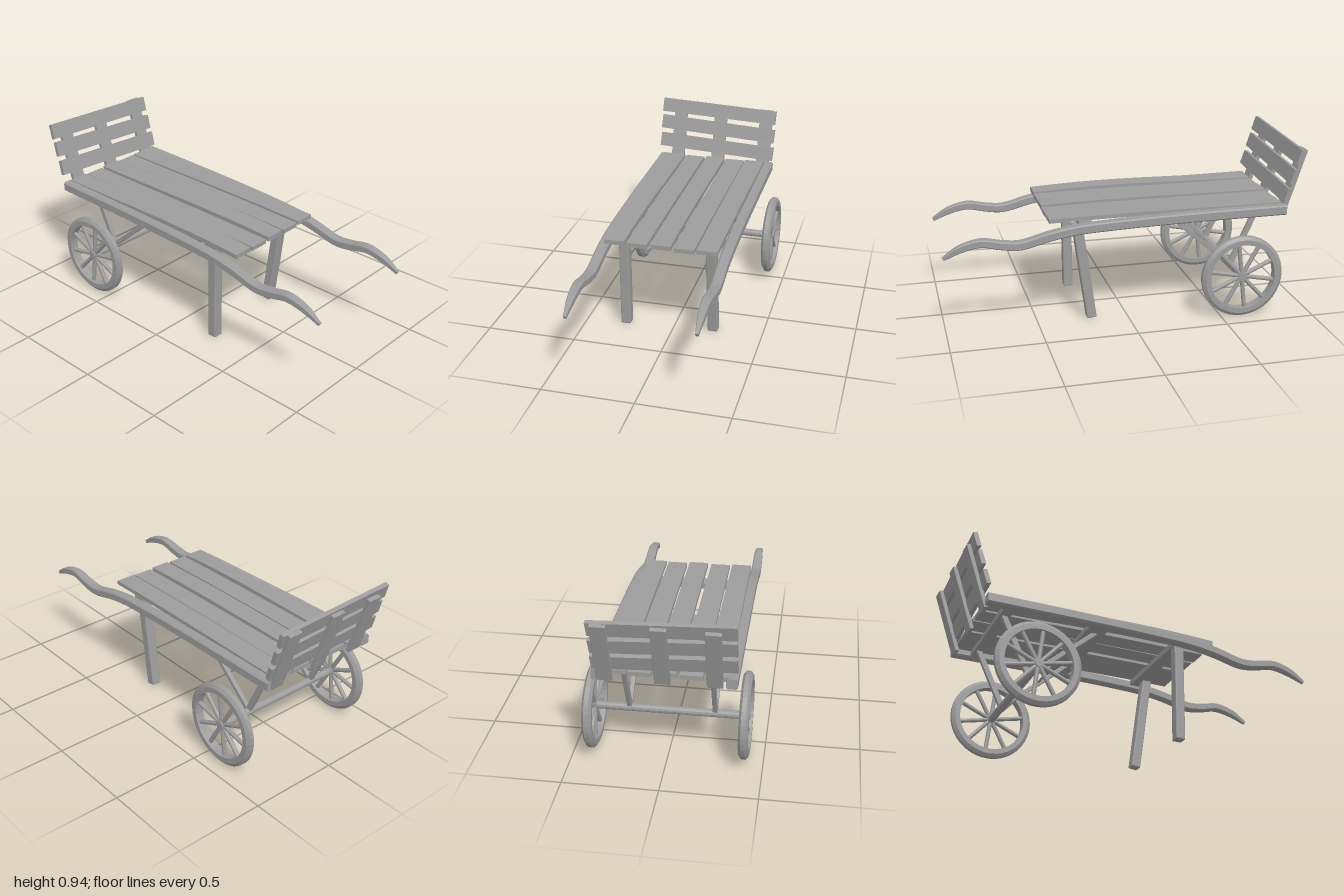
import * as THREE from 'three';
import { RoundedBoxGeometry } from 'three/addons/geometries/RoundedBoxGeometry.js';

const wood = new THREE.MeshStandardMaterial({ color: 0x9c9c9c, flatShading: true });
const V = (x, y, z) => new THREE.Vector3(x, y, z);
const UP = V(0, 1, 0);

function add(parent, name, geometry) {
  const mesh = new THREE.Mesh(geometry, wood);
  mesh.name = name;
  parent.add(mesh);
  return mesh;
}

// Straight member between two points; round when no depth is given
function beam(parent, name, a, b, width, depth, bevel = 0.002) {
  const length = a.distanceTo(b);
  const geometry = depth
    ? new RoundedBoxGeometry(width, length, depth, 1, bevel)
    : new THREE.CylinderGeometry(width, width, length, 12);
  const mesh = add(parent, name, geometry);
  mesh.position.copy(a).add(b).multiplyScalar(0.5);
  mesh.quaternion.setFromUnitVectors(UP, b.clone().sub(a).normalize());
  return mesh;
}

function box(parent, name, w, h, d, x, y, z) {
  const mesh = add(parent, name, new THREE.BoxGeometry(w, h, d));
  mesh.position.set(x, y, z);
  return mesh;
}

// Side rail swept along x into a curved, tapering handle with chamfered edges
function railGeometry() {
  // x, centre y, half height, half width
  const keys = [
    [-0.88, 0.575, 0.028, 0.029], [-0.3, 0.571, 0.027, 0.029], [0.1, 0.561, 0.026, 0.029],
    [0.3, 0.549, 0.025, 0.029], [0.44, 0.526, 0.024, 0.028], [0.6, 0.489, 0.023, 0.028],
    [0.7, 0.499, 0.022, 0.027], [0.8, 0.518, 0.021, 0.025], [0.91, 0.494, 0.019, 0.019],
    [1.0, 0.447, 0.010, 0.008],
  ];
  const centre = new THREE.CatmullRomCurve3(keys.map(k => V(k[0], k[1], 0)));
  const size = new THREE.CatmullRomCurve3(keys.map(k => V(k[2], k[3], 0)));
  const steps = 45, sides = 8, c = 0.72;
  const ring = [[1, c], [c, 1], [-c, 1], [-1, c], [-1, -c], [-c, -1], [c, -1], [1, -c]];
  const pos = [], index = [];
  for (let i = 0; i <= steps; i++) {
    const p = centre.getPoint(i / steps), s = size.getPoint(i / steps);
    const t = centre.getTangent(i / steps);
    if (i === 0) t.set(1, 0, 0);
    for (const [u, v] of ring) pos.push(p.x - t.y * v * s.x, p.y + t.x * v * s.x, u * s.y);
  }
  for (let i = 0; i < steps; i++) {
    for (let j = 0; j < sides; j++) {
      const a = i * sides + j, b = i * sides + (j + 1) % sides;
      index.push(a, a + sides, b, b, a + sides, b + sides);
    }
  }
  const last = steps * sides;
  for (let j = 1; j < sides - 1; j++) {
    index.push(0, j, j + 1, last, last + j + 1, last + j);
  }
  const geometry = new THREE.BufferGeometry();
  geometry.setAttribute('position', new THREE.Float32BufferAttribute(pos, 3));
  geometry.setIndex(index);
  geometry.computeVertexNormals();
  return geometry;
}

// Deck plank that bows upwards and narrows slightly at one end
function plankGeometry(length, thickness, width, bow, taper) {
  const geometry = new THREE.BoxGeometry(length, thickness, width, 10, 1, 1);
  const p = geometry.attributes.position;
  for (let i = 0; i < p.count; i++) {
    const t = p.getX(i) / length + 0.5;
    p.setY(i, p.getY(i) + bow * Math.sin(Math.PI * Math.pow(t, 1.6)));
    p.setZ(i, p.getZ(i) * (1 - taper * t));
  }
  geometry.computeVertexNormals();
  return geometry;
}

// Spoked wheel lying in the xy plane
function wheel(z, name) {
  const group = new THREE.Group();
  group.name = name;
  const profile = [
    [0.184, -0.025], [0.212, -0.025], [0.23, -0.012],
    [0.23, 0.012], [0.212, 0.025], [0.184, 0.025], [0.184, -0.025],
  ].map(([r, y]) => new THREE.Vector2(r, y));
  add(group, 'rim', new THREE.LatheGeometry(profile, 40)).rotation.x = Math.PI / 2;
  add(group, 'hub', new THREE.CylinderGeometry(0.023, 0.023, 0.04, 16)).rotation.x = Math.PI / 2;
  for (let i = 0; i < 10; i++) {
    const a = 0.2 + i * Math.PI / 5;
    const dir = V(Math.cos(a), Math.sin(a), 0);
    beam(group, 'spoke', dir.clone().multiplyScalar(0.012), dir.multiplyScalar(0.19), 0.012);
  }
  group.position.set(-0.61, 0.235, z);
  return group;
}

export function createModel() {
  const cart = new THREE.Group();
  cart.name = 'handcart';

  // Side rails with handles
  const rail = railGeometry();
  add(cart, 'leftRail', rail).position.z = 0.345;
  add(cart, 'rightRail', rail).position.z = -0.32;

  // Deck: z, y, width, thickness, bow, taper
  const planks = [
    [-0.233, 0.594, 0.117, 0.022, 0.005, 0.05],
    [-0.11, 0.589, 0.117, 0.024, 0.004, 0.06],
    [0.016, 0.594, 0.115, 0.026, 0.008, 0.06],
    [0.146, 0.590, 0.115, 0.024, 0.004, 0.05],
    [0.271, 0.594, 0.117, 0.025, 0.013, 0.06],
  ];
  for (const [z, y, width, thickness, bow, taper] of planks) {
    const plank = add(cart, 'deckPlank', plankGeometry(1.305, thickness, width, bow, taper));
    plank.position.set(-0.218, y, z);
  }

  // Cross members under the deck
  box(cart, 'rearCrossbeam', 0.06, 0.03, 0.62, -0.75, 0.565, 0.0125);
  box(cart, 'middleCrossbeam', 0.11, 0.028, 0.62, -0.245, 0.565, 0.0125);
  box(cart, 'legCrossbeam', 0.07, 0.03, 0.595, 0.24, 0.565, 0.0125);

  // Legs, one upright and one raked
  beam(cart, 'leftLeg', V(0.234, 0, 0.273), V(0.238, 0.555, 0.273), 0.054, 0.057, 0.007);
  beam(cart, 'rightLeg', V(0.199, 0.003, -0.223), V(0.275, 0.555, -0.223), 0.054, 0.057, 0.007);

  // Wheels, axle and its braces
  cart.add(wheel(0.4, 'leftWheel'), wheel(-0.4, 'rightWheel'));
  beam(cart, 'axle', V(-0.61, 0.232, -0.4), V(-0.61, 0.232, 0.4), 0.021);
  for (const z of [0.238, -0.213]) {
    beam(cart, 'rearBrace', V(-0.605, 0.235, z), V(-0.755, 0.555, z), 0.03, 0.024);
    beam(cart, 'frontBrace', V(-0.615, 0.232, z), V(-0.235, 0.56, z), 0.024, 0.024);
  }
  beam(cart, 'braceRod', V(-0.4, 0.425, -0.213), V(-0.4, 0.425, 0.238), 0.007);

  // Tilted backrest: three uprights behind three crooked slats
  for (const [z, top] of [[0.263, 0.9], [0.005, 0.905], [-0.283, 0.905]]) {
    const lean = (top - 0.55) * 0.33;
    beam(cart, 'backrestUpright', V(-0.868, 0.55, z), V(-0.868 - lean, top, z), 0.023, 0.08);
  }
  for (const [y, roll] of [[0.883, 0.043], [0.778, 0.056], [0.672, 0.053]]) {
    const slat = box(cart, 'backrestSlat', 0.024, 0.083, 0.72, -0.869 - (y - 0.61) * 0.308, y, 0.0145);
    slat.rotation.set(-roll, 0, 0.298, 'ZXY');
  }
  return cart;
}
